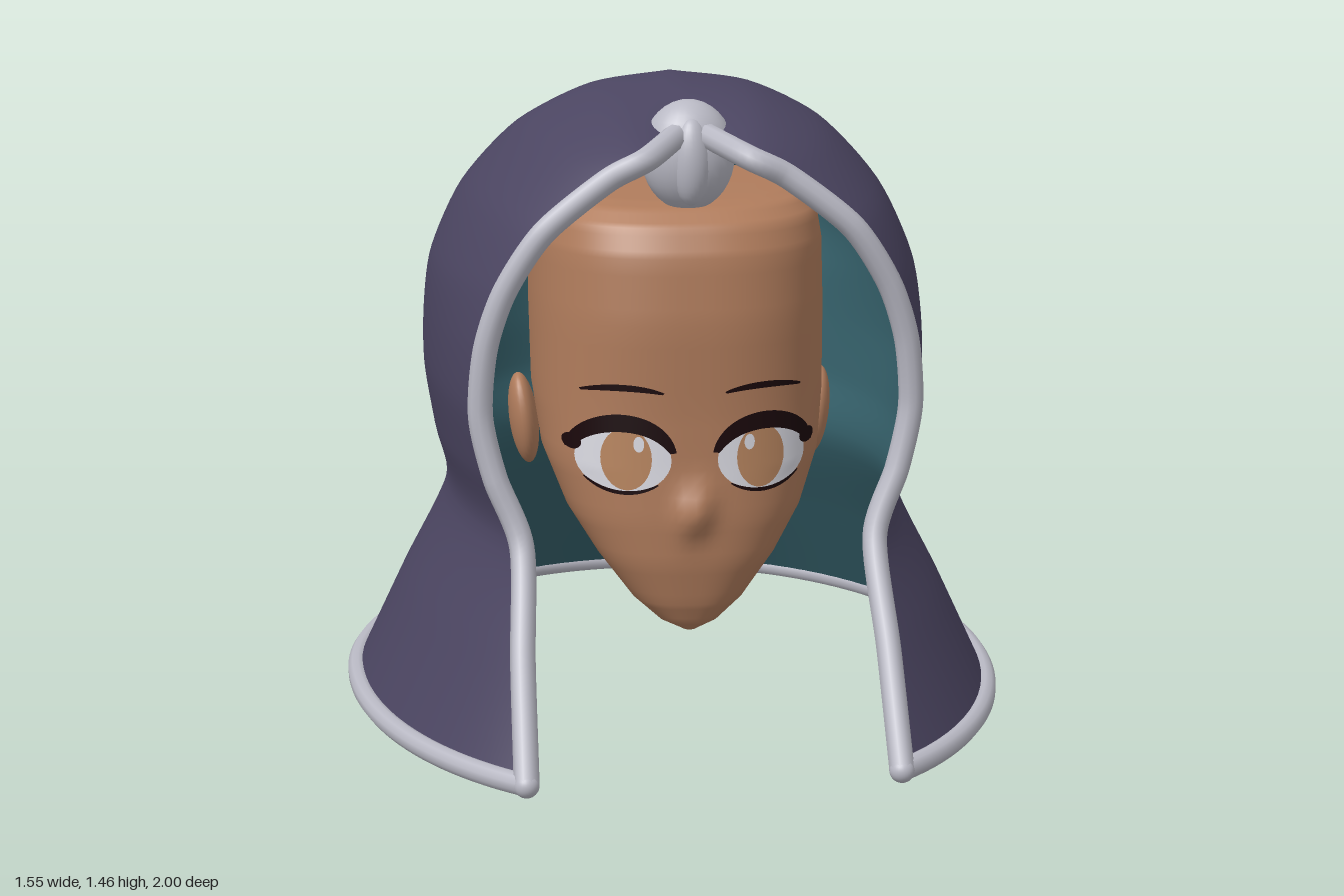
import * as THREE from 'three';
import { mergeVertices } from 'three/addons/utils/BufferGeometryUtils.js';

const material = (name, color, side = THREE.FrontSide) => new THREE.MeshStandardMaterial({ name, color, side });
const V = (x, y, z = 0) => new THREE.Vector3(x, y, z);

// Smooth surface from a rule (u, v) -> point; it faces along dP/du x dP/dv
function surface(rule, nu, nv) {
  const plane = new THREE.PlaneGeometry(1, 1, nu, nv);
  const pos = plane.attributes.position, uv = plane.attributes.uv;
  for (let i = 0; i < pos.count; i++) {
    const p = rule(uv.getX(i), uv.getY(i));
    pos.setXYZ(i, p.x, p.y, p.z);
  }
  plane.deleteAttribute('uv');
  plane.deleteAttribute('normal');
  const geometry = mergeVertices(plane, 1e-4);
  geometry.computeVertexNormals();
  return geometry;
}

// Hood rows, hem to top seam: front edge x y z, side half width and y, back y z, back taper
const hoodRows = [
  [0.41, 0.03, 0.972, 0.75, 0.025, 0.025, -0.75, 1],
  [0.405, 0.26, 0.825, 0.64, 0.26, 0.26, -0.61, 1],
  [0.395, 0.48, 0.69, 0.532, 0.485, 0.485, -0.492, 1],
  [0.45, 0.63, 0.657, 0.557, 0.63, 0.63, -0.53, 1],
  [0.48, 0.77, 0.645, 0.58, 0.78, 0.75, -0.57, 1.2],
  [0.468, 0.92, 0.65, 0.578, 0.92, 0.86, -0.65, 1.4],
  [0.425, 1.05, 0.66, 0.558, 1.05, 0.92, -0.80, 1.6],
  [0.34, 1.18, 0.67, 0.483, 1.21, 0.965, -0.94, 1.4],
  [0.20, 1.29, 0.66, 0.352, 1.35, 0.985, -0.985, 1.05],
  [0.11, 1.335, 0.65, 0.185, 1.433, 1.005, -0.995, 0.9],
  [0, 1.38, 0.47, 0, 1.46, 1.02, -1.0, 0.9],
];
const curveOf = (pick) => new THREE.CatmullRomCurve3(hoodRows.map(pick), false, 'catmullrom', 0.4);
const frontEdge = curveOf((r) => V(r[0], r[1], r[2]));
const sideLine = curveOf((r) => V(r[3], r[4], r[7]));
const backLine = curveOf((r) => V(0, r[5], r[6]));
const SIDE_Z = 0.12;

// Each row runs from the left front edge round the back to the right front edge
function hoodPoint(u, v) {
  const f = frontEdge.getPoint(v), s = sideLine.getPoint(v), b = backLine.getPoint(v);
  const k = Math.abs(2 * u - 1), mirror = u < 0.5 ? 1 : -1;
  const w = Math.max(0, s.x);
  if (k < 0.6) {
    const a = (1 - k / 0.6) * Math.PI / 2, q = Math.sin(a);
    const x = w * Math.max(0, Math.cos(a)) ** s.z;
    const drop = 0.87 * q ** 1.2 + 0.13 * q ** 20; // blunt at the tip
    return V(mirror * x, s.y + (b.y - s.y) * drop, SIDE_Z + (b.z - SIDE_Z) * q);
  }
  const j = (k - 0.6) / 0.4;
  const end = Math.acos(w > 0.001 ? Math.min(0.97, Math.max(0, f.x) / w) : 0.97);
  const q = Math.sin(end * j) / Math.sin(end);
  const x = w * Math.cos(end * j) + (f.x - w * Math.cos(end)) * j;
  return V(mirror * x, s.y + (f.y - s.y) * q * q, SIDE_Z + (f.z - SIDE_Z) * q);
}

// Head rows: y, half width, front z, back z
const headRows = [
  [0.223, 0, 0.48, 0.48], [0.227, 0.02, 0.53, 0.44], [0.25, 0.07, 0.557, 0.39], [0.3, 0.128, 0.58, 0.33],
  [0.4, 0.205, 0.602, 0.25], [0.5, 0.27, 0.607, 0.13], [0.62, 0.318, 0.603, 0],
  [0.75, 0.335, 0.602, -0.12], [0.95, 0.338, 0.61, -0.18], [1.1, 0.335, 0.595, -0.18],
  [1.165, 0.325, 0.565, -0.16], [1.2, 0.298, 0.515, -0.12], [1.21, 0.25, 0.45, -0.06], [1.212, 0, 0.2, 0.2],
];
const noseBump = (x, y) => 0.038 * Math.exp(-((x / 0.038) ** 2) - ((y - 0.525) / 0.05) ** 2);

// Point on the head, with a rounded box section at each height
function headPoint(u, v) {
  const n = v * (headRows.length - 1), i = Math.min(Math.floor(n + 1e-6), headRows.length - 2);
  const [y, w, front, back] = headRows[i].map((c, k) => c + (headRows[i + 1][k] - c) * (n - i));
  const a = (u - 0.5) * 2 * Math.PI, mid = (front + back) / 2;
  const soft = (t) => Math.sign(t) * Math.abs(t) ** 0.8;
  const x = w * soft(Math.sin(a)), nose = Math.cos(a) > 0 ? noseBump(x, y) : 0;
  return V(x, y, mid + (front - mid) * soft(Math.cos(a)) + nose);
}

// Depth of the face at x, y
function faceZ(x, y) {
  const i = headRows.findIndex((r) => r[0] > y);
  const a = headRows[i - 1], b = headRows[i], t = (y - a[0]) / (b[0] - a[0]);
  const [, w, front, back] = a.map((n, c) => n + (b[c] - n) * t);
  const mid = (front + back) / 2;
  return mid + (front - mid) * (1 - Math.abs(x / w) ** 2.5) ** 0.4 + noseBump(x, y);
}

export function createModel() {
  const cloth = material('purple cloth', 0x4b4561);
  const liningMat = material('teal lining', 0x35606a);
  const silver = material('silver trim', 0xb9b9c4);
  const skin = material('skin', 0xb07c5c);
  const dark = material('dark lashes', 0x1a080b, THREE.DoubleSide);
  const white = material('eye white', 0xdcdce4, THREE.DoubleSide);
  const irisMat = material('iris tan', 0xb98660, THREE.DoubleSide);

  const model = new THREE.Group();
  const add = (name, geometry, mat) => {
    const mesh = new THREE.Mesh(geometry, mat);
    mesh.name = name;
    model.add(mesh);
    return mesh;
  };
  const ball = (name, mat, [x, y, z], [sx, sy, sz]) => {
    const mesh = add(name, new THREE.SphereGeometry(1, 28, 18), mat);
    mesh.position.set(x, y, z);
    mesh.scale.set(sx, sy, sz);
    return mesh;
  };
  const tube = (name, points, radius) =>
    add(name, new THREE.TubeGeometry(new THREE.CatmullRomCurve3(points), 120, radius, 10), silver);

  // Hood cloth, and its lining set just inside and facing inward
  const outer = surface(hoodPoint, 80, 60);
  add('hood', outer, cloth);
  const inner = outer.clone(), pos = inner.attributes.position, nor = outer.attributes.normal;
  const gap = 0.015;
  for (let i = 0; i < pos.count; i++) {
    pos.setXYZ(i, pos.getX(i) - gap * nor.getX(i), pos.getY(i) - gap * nor.getY(i), pos.getZ(i) - gap * nor.getZ(i));
  }
  inner.setIndex(Array.from(inner.index.array).reverse());
  inner.computeVertexNormals();
  add('hoodLining', inner, liningMat);
  ball('tipLining', liningMat, [0, 0.968, -0.87], [0.105, 0.03, 0.105]).rotation.x = 0.36;

  // Trim round the hem and up both sides of the opening
  const steps = Array.from({ length: 61 }, (_, i) => i / 60);
  tube('hemTrim', steps.map((t) => hoodPoint(t, 0)), 0.025);
  for (const s of [1, -1]) {
    const points = steps.map((t) => frontEdge.getPoint(t * 0.975)).map((p) => V(s * p.x, p.y, p.z));
    tube(s > 0 ? 'leftOpeningTrim' : 'rightOpeningTrim', points, 0.028);
    ball('trimEnd', silver, points[0].toArray(), [0.028, 0.028, 0.028]);
  }

  // Clasp on the brow of the hood
  ball('claspDisc', silver, [0, 1.315, 0.475], [0.105, 0.125, 0.09]);
  ball('claspKnot', silver, [0, 1.308, 0.53], [0.045, 0.098, 0.045]);

  // Head
  add('head', surface(headPoint, 128, 52), skin);

  // Painted details that follow the face
  const decal = (name, mat, lift, side, rule) => add(name, surface((u, v) => {
    const [x, y] = rule(u, v);
    return V(side * x, y, faceZ(x, y) + lift);
  }, 32, 6), mat);
  const disc = (cx, cy, rx, ry) => (u, v) => {
    const a = u * 2 * Math.PI;
    return [cx + rx * v * Math.cos(a), cy + ry * v * Math.sin(a)];
  };
  // Tapered band along an elliptical arc, angles in degrees
  const band = (cx, cy, rx, ry, from, to, thick) => (u, v) => {
    const a = THREE.MathUtils.degToRad(from + (to - from) * u);
    const d = thick * v * Math.sqrt(Math.sin(Math.PI * (0.04 + 0.92 * u)));
    return [cx + (rx - d) * Math.cos(a), cy + (ry - d) * Math.sin(a)];
  };
  for (const s of [1, -1]) {
    const side = s > 0 ? 'left' : 'right';
    decal(side + 'EyeWhite', white, 0.003, s, disc(0.157, 0.645, 0.105, 0.075));
    decal(side + 'Iris', irisMat, 0.005, s, disc(0.152, 0.648, 0.056, 0.072));
    decal(side + 'EyeGlint', white, 0.007, s, disc(0.125, 0.683, 0.012, 0.018));
    decal(side + 'UpperLash', dark, 0.008, s, band(0.162, 0.65, 0.122, 0.1, 172, 6, 0.04));
    decal(side + 'LashTip', dark, 0.008, s, disc(0.268, 0.675, 0.02, 0.018));
    decal(side + 'LowerLash', dark, 0.007, s, band(0.157, 0.645, 0.107, 0.079, 225, 325, 0.009));
    decal(side + 'Brow', dark, 0.004, s, band(0.16, 0.758, 0.13, 0.06, 135, 45, 0.015));
    ball(side + 'Ear', skin, [s * 0.348, 0.64, 0.13], [0.034, 0.11, 0.065]).rotation.z = -s * 0.12;
  }
  return model;
}
